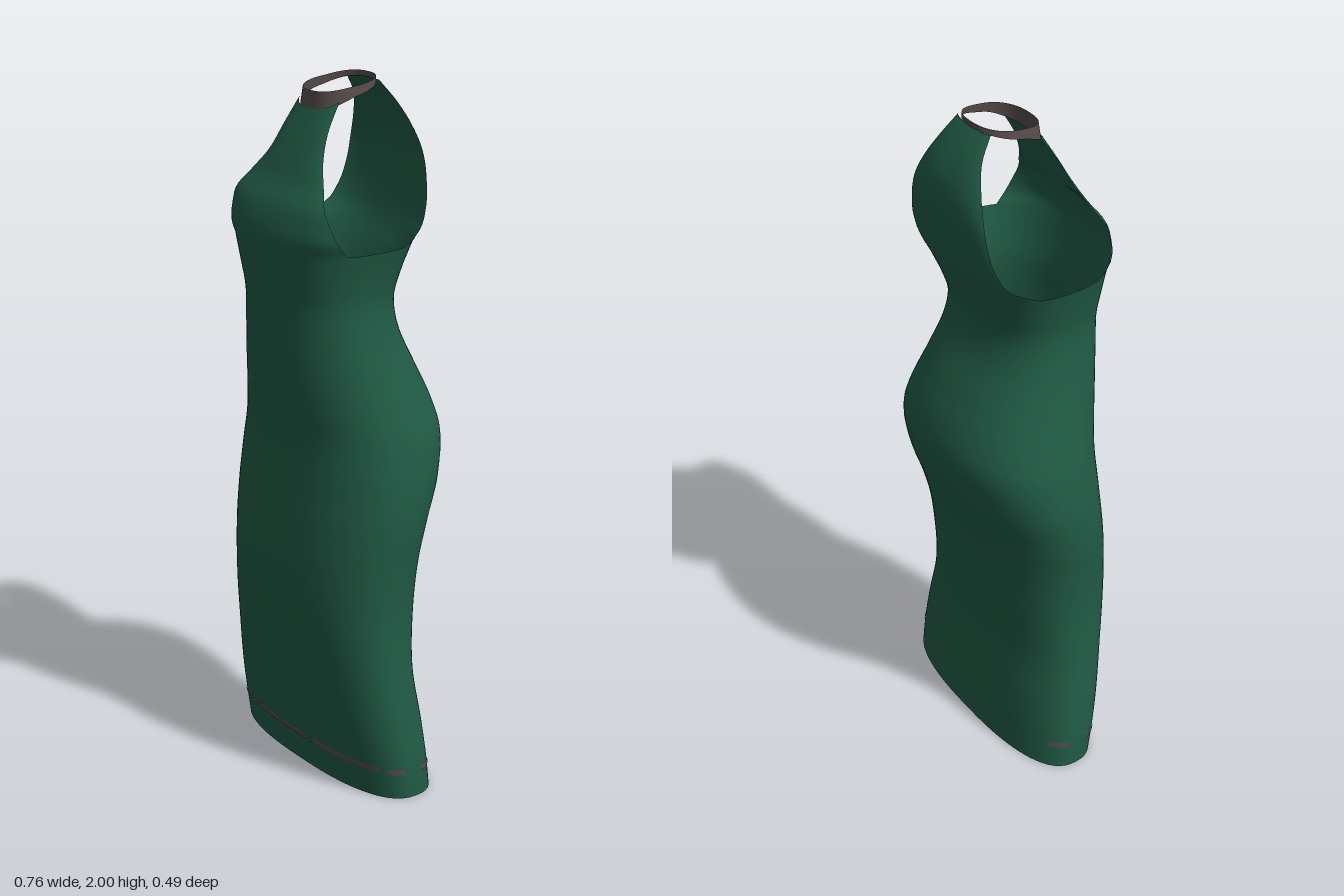
import * as THREE from 'three';
import { mergeGeometries, mergeVertices } from 'three/addons/utils/BufferGeometryUtils.js';

const SEG = 64;

// Smooth interpolation of table rows, keyed by the first column
function spline(rows) {
  const size = rows[0].length - 1;
  const interp = new THREE.CubicInterpolant(
    rows.map(r => r[0]), new Float32Array(rows.flatMap(r => r.slice(1))), size);
  return y => Array.from(interp.evaluate(y));
}

// Grid of points (rows going up, columns by increasing angle) to a surface
function gridSurface(grid, closed = false) {
  const n = grid[0].length, index = [];
  for (let i = 0; i < grid.length - 1; i++) {
    for (let j = 0; j < (closed ? n : n - 1); j++) {
      const k = (j + 1) % n;
      const a = i * n + j, b = i * n + k, c = a + n, d = b + n;
      index.push(a, c, b, b, c, d);
    }
  }
  const geo = new THREE.BufferGeometry();
  geo.setAttribute('position', new THREE.Float32BufferAttribute(grid.flat(2), 3));
  geo.setIndex(index);
  geo.computeVertexNormals();
  return geo;
}

const range = (n, f) => Array.from({ length: n }, (_, i) => f(i));
const spow = (v, p) => Math.sign(v) * Math.pow(Math.abs(v), p);

// Body sections: height, half width, front z, back z, squareness
const ARM_Y = 1.57;
const section = spline([
  [0.005, 0.38, 0.125, -0.145, 2.5],
  [0.1, 0.377, 0.142, -0.138, 2.5],
  [0.2, 0.366, 0.162, -0.13, 2.5],
  [0.36, 0.345, 0.19, -0.117, 2.4],
  [0.52, 0.332, 0.21, -0.13, 2.4],
  [0.68, 0.338, 0.213, -0.152, 2.3],
  [0.8, 0.348, 0.206, -0.185, 2.2],
  [0.92, 0.347, 0.195, -0.226, 2.2],
  [1.04, 0.325, 0.192, -0.249, 2.2],
  [1.12, 0.298, 0.203, -0.232, 2.2],
  [1.22, 0.265, 0.216, -0.188, 2.2],
  [1.33, 0.237, 0.22, -0.135, 2.3],
  [1.42, 0.227, 0.221, -0.119, 2.4],
  [1.5, 0.238, 0.232, -0.14, 2.5],
  [ARM_Y, 0.255, 0.243, -0.17, 2.5],
]);

function bodyPoint(y, angle, grow = 0) {
  const [w, zf, zb, n] = section(y);
  const mid = (zf + zb) / 2, depth = (zf - zb) / 2;
  return [
    (w + grow) * spow(Math.cos(angle), 2 / n), y,
    mid + (depth + grow) * spow(Math.sin(angle), 2 / n),
  ];
}

// Halter panel growing out of the top body ring between two columns.
// Rows: centre height, edge height, half width, centre z, edge z
function panel(from, to, rows) {
  const base = range(to - from + 1, j => bodyPoint(ARM_Y, (from + j) / SEG * Math.PI * 2));
  const w0 = Math.abs(base[0][0]), e0 = base[0][2], c0 = base[(to - from) / 2][2];
  const at = spline([[ARM_Y, ARM_Y, w0, c0, e0], ...rows]);
  const top = rows[rows.length - 1][0];
  const grid = range(29, i => {
    const y = ARM_Y + (top - ARM_Y) * i / 28;
    const [ye, w, zc, ze] = at(y);
    return base.map(([x, , z]) => {
      const k = (z - e0) / (c0 - e0);
      return [x / w0 * w, ye + (y - ye) * k, ze + (zc - ze) * k];
    });
  });
  return gridSurface(grid);
}

function createDress() {
  const body = gridSurface(range(81, i => {
    const y = 0.005 + (ARM_Y - 0.005) * i / 80;
    return range(SEG, j => bodyPoint(y, j / SEG * Math.PI * 2));
  }), true);
  const front = panel(4, 28, [
    [1.60, 1.60, 0.238, 0.245, 0.158],
    [1.65, 1.65, 0.222, 0.233, 0.176],
    [1.69, 1.69, 0.203, 0.215, 0.18],
    [1.74, 1.74, 0.165, 0.178, 0.155],
    [1.80, 1.80, 0.122, 0.147, 0.125],
    [1.86, 1.87, 0.099, 0.115, 0.092],
    [1.92, 1.945, 0.086, 0.082, 0.045],
  ]);
  const back = panel(36, 60, [
    [1.60, 1.60, 0.215, -0.18, -0.125],
    [1.65, 1.65, 0.198, -0.192, -0.16],
    [1.72, 1.72, 0.18, -0.202, -0.177],
    [1.80, 1.80, 0.16, -0.205, -0.178],
    [1.87, 1.87, 0.128, -0.187, -0.163],
    [1.93, 1.93, 0.096, -0.153, -0.138],
    [1.985, 1.985, 0.074, -0.11, -0.097],
  ]);
  // Weld the panels to the body so the cloth shades smoothly
  const parts = [body, front, back];
  parts.forEach(g => g.deleteAttribute('normal'));
  const geo = mergeVertices(mergeGeometries(parts), 1e-4);
  geo.computeVertexNormals();
  return geo;
}

// Collar: tall at the front, narrow at the back, tilted up to the rear
function createCollar() {
  return gridSurface(range(5, i => range(SEG, j => {
    const a = j / SEG * Math.PI * 2, s = Math.sin(a), f = (1 + s) / 2;
    const height = 0.016 + 0.039 * f * f;
    const r = 1 + 0.08 * f * (1 - i / 4);
    return [
      0.088 * r * spow(Math.cos(a), 0.8),
      2 - 0.033 * f - height * (1 - i / 4),
      -0.018 + 0.093 * r * spow(s, 0.8),
    ];
  })), true);
}

// Thin hem trim between two angles in degrees
function createTrim(start, end) {
  return gridSurface(range(2, i => range(33, j => {
    const a = THREE.MathUtils.degToRad(start + (end - start) * j / 32);
    const y = 0.078 + 0.018 * Math.max(0, Math.sin(a)) + 0.016 * i;
    return bodyPoint(y, a, 0.002);
  })));
}

export function createModel() {
  const cloth = new THREE.MeshStandardMaterial({ color: 0x205a45, side: THREE.DoubleSide });
  cloth.name = 'green cloth';
  const trim = new THREE.MeshStandardMaterial({ color: 0x574b4b, side: THREE.DoubleSide });
  trim.name = 'grey trim';

  const model = new THREE.Group();
  model.name = 'halterDress';
  const add = (name, geo, mat) => {
    const mesh = new THREE.Mesh(geo, mat);
    mesh.name = name;
    model.add(mesh);
  };
  add('dress', createDress(), cloth);
  add('collar', createCollar(), trim);
  // Front trim, then short dashes round both sides
  [[32, 82], [84, 146], [8, 24], [156, 172], [-30, -8], [188, 210]].forEach(
    ([a, b], i) => add('hemTrim' + (i + 1), createTrim(a, b), trim));
  return model;
}
